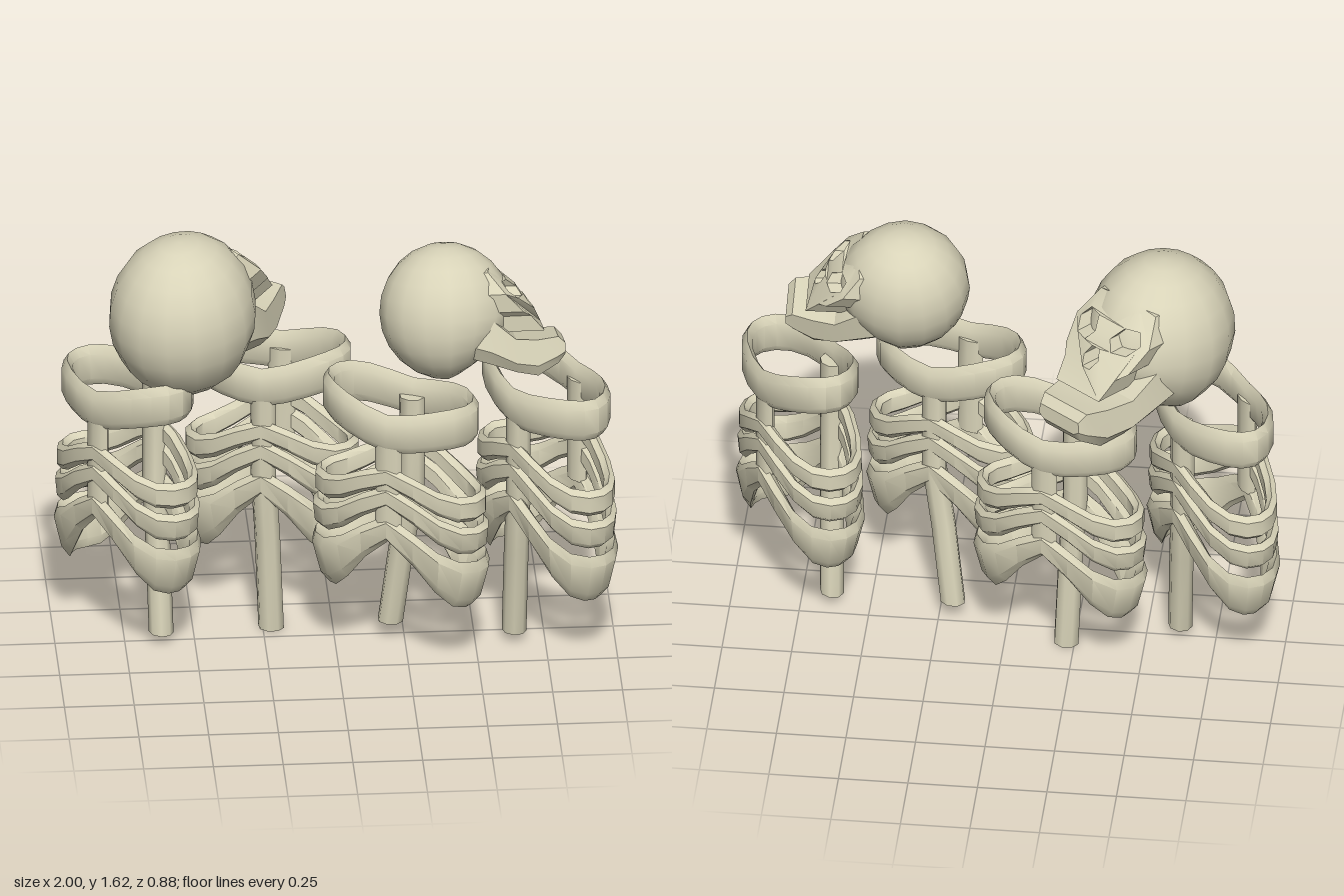
import * as THREE from 'three';
import { toCreasedNormals } from 'three/addons/utils/BufferGeometryUtils.js';

const bone = new THREE.MeshStandardMaterial({ color: 0xd8d3b8, side: THREE.DoubleSide });

function mesh(geometry, name, crease = 0.7) {
  const m = new THREE.Mesh(toCreasedNormals(geometry, crease), bone);
  m.name = name;
  return m;
}

// Skins a row of equal rings of [x, y, z]; either a closed loop or a capped bar.
function loft(rings, loop = false) {
  const n = rings[0].length, count = rings.length, index = [];
  for (let i = 0; i < (loop ? count : count - 1); i++) {
    for (let j = 0; j < n; j++) {
      const k = (j + 1) % n, a = i * n, b = ((i + 1) % count) * n;
      index.push(a + j, a + k, b + k, a + j, b + k, b + j);
    }
  }
  if (!loop) {
    const e = (count - 1) * n;
    for (let j = 1; j < n - 1; j++) index.push(0, j + 1, j, e, e + j, e + j + 1);
  }
  const g = new THREE.BufferGeometry();
  g.setAttribute('position', new THREE.Float32BufferAttribute(rings.flat(2), 3));
  g.setIndex(index);
  return g;
}

// Upright bar through the given centres, listed from bottom to top.
function bar(points, rx, rz) {
  return loft(points.map(([x, y, z]) => Array.from({ length: 8 }, (_, j) => {
    const a = (j / 8) * Math.PI * 2;
    return [x + rx * Math.cos(a), y, z - rz * Math.sin(a)];
  })));
}

const WIDTH = 0.325, DEPTH = 0.18;

// Rib loop, high at breastbone and spine, drooping at both sides where it
// also leans inwards at its lower edge.
function rib({ mid, side, hMid, hSide, size, t, lean, slope }) {
  const rings = [];
  for (let i = 0; i < 20; i++) {
    const a = (i / 20) * Math.PI * 2, c = Math.cos(a), s = Math.sin(a);
    const k = THREE.MathUtils.smoothstep(Math.abs(c), -0.1, 0.95);
    const h = hMid + (hSide - hMid) * k;
    const y = mid + (side - mid) * k + slope * c * WIDTH;
    const section = [[t, -0.6 * h], [t, 0.6 * h], [0, h], [-t, 0.6 * h], [-t, -0.6 * h], [0, -h]];
    rings.push(section.map(([r, dy]) => {
      const out = r - t + lean * k * dy;
      return [(WIDTH * size + out) * c, y + dy, (DEPTH * 0.97 + out) * s];
    }));
  }
  return loft(rings, true);
}

// Rib cage facing its own +z; foot is the world x, y, z of the spine's lower end.
function ribCage(x, z, yaw, slope, foot) {
  const g = new THREE.Group();
  g.name = 'ribCage';
  g.position.set(x, 0, z);
  g.rotation.y = yaw;
  g.updateMatrix();
  g.updateMatrixWorld();
  const f = g.worldToLocal(new THREE.Vector3(...foot));
  const back = -DEPTH + 0.048;
  g.add(mesh(bar([[f.x, f.y, f.z], [f.x * 0.5, 0.38, (f.z + back) / 2],
    [0, 0.62, back], [0, 1.0, back]], 0.047, 0.042), 'spine', 0.9));
  g.add(mesh(bar([[0, 0.6, DEPTH - 0.035], [0, 0.8, DEPTH - 0.035],
    [0, 1.0, DEPTH - 0.035]], 0.05, 0.025), 'breastbone', 0.9));
  const ribs = [
    { mid: 0.985, side: 1.03, hMid: 0.075, hSide: 0.08, size: 0.89, t: 0.02, lean: 0, slope },
    { mid: 0.82, side: 0.69, hMid: 0.04, hSide: 0.05, size: 0.98, t: 0.02, lean: 0, slope: slope / 2 },
    { mid: 0.74, side: 0.565, hMid: 0.042, hSide: 0.055, size: 1, t: 0.02, lean: 0.1, slope: slope / 2 },
    { mid: 0.61, side: 0.385, hMid: 0.05, hSide: 0.1, size: 0.97, t: 0.022, lean: 0.25, slope: slope / 2 },
  ];
  ribs.forEach((r, i) => g.add(mesh(rib(r), i ? 'rib' : 'topRib')));
  return g;
}

function hexagon(cx, cy, rx, ry) {
  const p = new THREE.Path();
  for (let i = 0; i < 6; i++) {
    const a = (i / 6) * Math.PI * 2;
    const x = cx + rx * Math.cos(a), y = cy + ry * Math.sin(a);
    if (i) p.lineTo(x, y); else p.moveTo(x, y);
  }
  p.closePath();
  return p;
}

// Skull facing its own +z, centred on the middle of the cranium.
function skull(x, y, z, scale, yaw, pitch, roll) {
  const g = new THREE.Group();
  g.name = 'skull';
  g.position.set(x, y, z);
  g.scale.setScalar(scale);
  g.rotation.set(-pitch, yaw, roll, 'YXZ');

  // Cranium narrows towards the brow and is flattened beneath the front.
  const head = new THREE.SphereGeometry(1, 16, 12);
  const p = head.attributes.position;
  for (let i = 0; i < p.count; i++) {
    const f = Math.max(0, p.getZ(i));
    const low = p.getY(i) < 0 ? 1 - 0.35 * f : 1;
    p.setXYZ(i, p.getX(i) * 0.218 * (1 - 0.1 * f), p.getY(i) * 0.247 * low, p.getZ(i) * 0.238);
  }
  g.add(mesh(head, 'cranium', 1.2));

  // Face plate with holes for eyes and nose, sloping forward to the teeth.
  const half = [[0.05, 0.17], [0.11, 0.155], [0.145, 0.08], [0.125, 0.01], [0.1, -0.01], [0.085, -0.07]];
  const outline = [...half, ...half.map(([a, b]) => [-a, b]).reverse()];
  const shape = new THREE.Shape(outline.map(([a, b]) => new THREE.Vector2(a, b)));
  shape.holes.push(hexagon(0.075, 0.085, 0.045, 0.035), hexagon(-0.075, 0.085, 0.045, 0.035),
    hexagon(0, 0.025, 0.028, 0.032));
  const depth = 0.15;
  const face = new THREE.ExtrudeGeometry(shape, { depth, bevelEnabled: false });
  const q = face.attributes.position;
  for (let i = 0; i < q.count; i++) {
    const a = q.getX(i), drop = 0.08 - q.getY(i);
    q.setZ(i, 0.26 + (drop > 0 ? 0.7 : 1.1) * drop - 2.6 * a * a + q.getZ(i) - depth);
  }
  g.add(mesh(face, 'face', 0.5));

  // Lower jaw: [forward, top, bottom, half width].
  const jaw = [[0.06, 0.02, -0.15, 0.16], [0.15, -0.01, -0.18, 0.155], [0.24, -0.09, -0.215, 0.135],
    [0.32, -0.1, -0.235, 0.11], [0.395, -0.095, -0.195, 0.09], [0.42, -0.12, -0.165, 0.08]];
  g.add(mesh(loft(jaw.map(([f, t, b, w]) => [
    [w * 0.75, b, f], [w, b * 0.7 + t * 0.3, f], [w * 0.95, t, f],
    [-w * 0.95, t, f], [-w, b * 0.7 + t * 0.3, f], [-w * 0.75, b, f]])), 'lowerJaw', 0.5));
  return g;
}

export function createModel() {
  const model = new THREE.Group();
  model.name = 'skeletons';
  model.add(
    ribCage(-0.74, 0.0, -0.88, 0.1, [-0.62, 0.04, 0.01]),
    ribCage(-0.21, -0.18, 2.84, -0.06, [-0.22, 0.0, -0.08]),
    ribCage(0.225, 0.215, -0.38, -0.08, [0.2, 0.07, 0.03]),
    ribCage(0.755, 0.085, 2.21, 0.12, [0.64, 0.04, 0.08]),
    skull(-0.54, 1.325, 0.025, 1.21, 2.5, 0.1, 0),
    skull(0.39, 1.365, 0.145, 1, 1.6, 0, -0.26),
  );
  return model;
}
